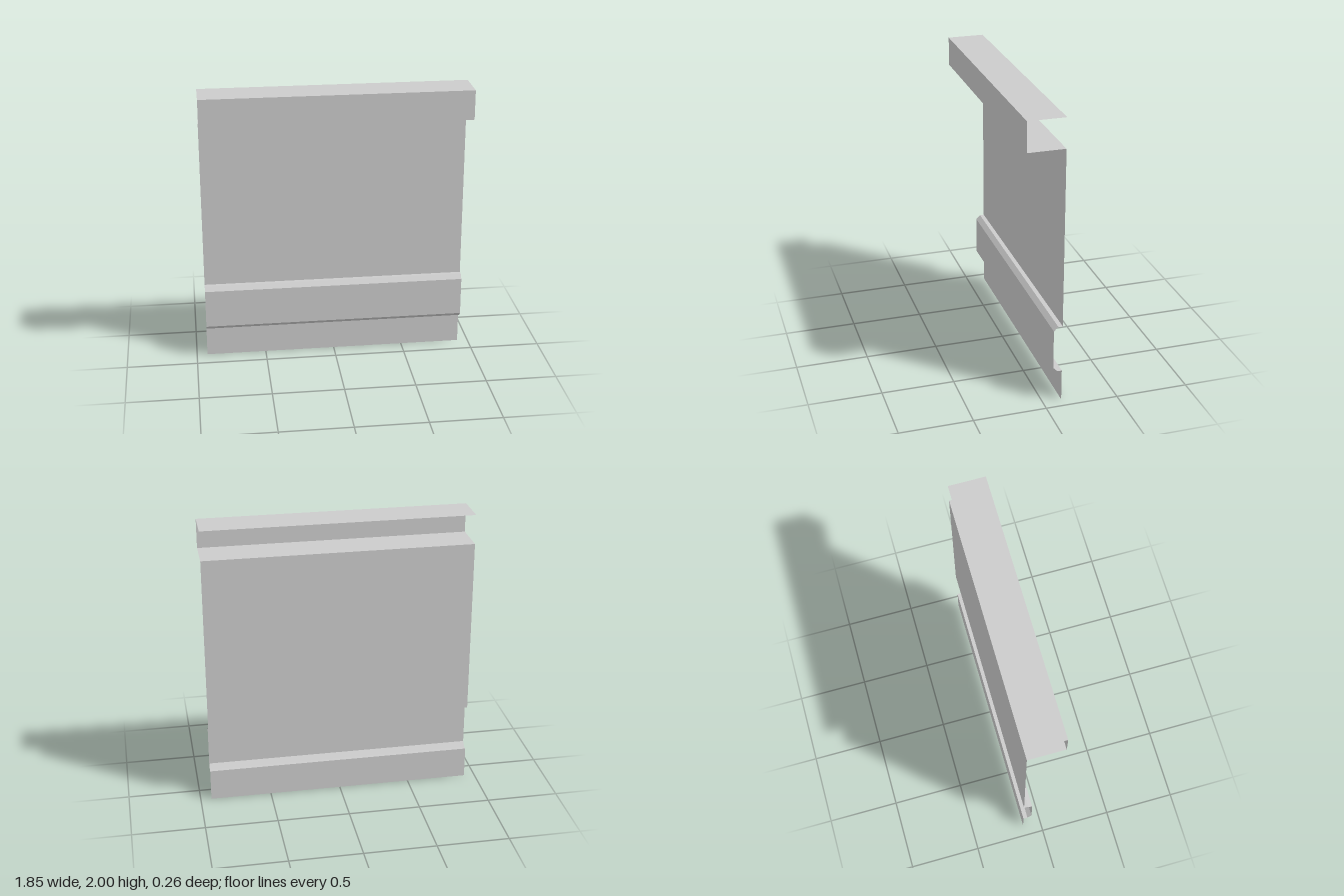
import * as THREE from 'three';

const HALF_WIDTH = 0.925;
const BACK = -0.13, FRONT = 0.126, RIB = -0.07, STEP = -0.1;

// Folded strip: a [z, y] profile swept along x, each fold kept sharp
function foldedSheet(name, profile, material) {
  const group = new THREE.Group();
  group.name = name;
  const pos = [];
  for (let i = 0; i < profile.length - 1; i++) {
    const [z0, y0] = profile[i], [z1, y1] = profile[i + 1];
    const a = [-HALF_WIDTH, y0, z0], b = [HALF_WIDTH, y0, z0];
    const c = [HALF_WIDTH, y1, z1], d = [-HALF_WIDTH, y1, z1];
    pos.push(...a, ...d, ...c, ...a, ...c, ...b);
  }
  const geometry = new THREE.BufferGeometry();
  geometry.setAttribute('position', new THREE.Float32BufferAttribute(pos, 3));
  geometry.computeVertexNormals();
  const mesh = new THREE.Mesh(geometry, material);
  mesh.name = name;
  return mesh;
}

export function createModel() {
  const model = new THREE.Group();
  model.name = 'foldedPanel';
  const material = new THREE.MeshStandardMaterial({
    color: 0xcccccc, side: THREE.DoubleSide, flatShading: true,
  });

  // Top channel, open at the back
  model.add(foldedSheet('topChannel',
    [[BACK, 2], [FRONT, 2], [FRONT, 1.795], [BACK, 1.795]], material));

  // Flat main web
  model.add(foldedSheet('mainPanel', [[BACK, 1.795], [BACK, 0.557]], material));

  // Raised rib with chamfered shoulders
  model.add(foldedSheet('raisedRib',
    [[BACK, 0.557], [STEP, 0.557], [RIB, 0.527], [RIB, 0.253], [STEP, 0.223], [BACK, 0.223]], material));

  // Lower skirt
  model.add(foldedSheet('lowerSkirt', [[BACK, 0.223], [BACK, 0]], material));

  return model;
}
